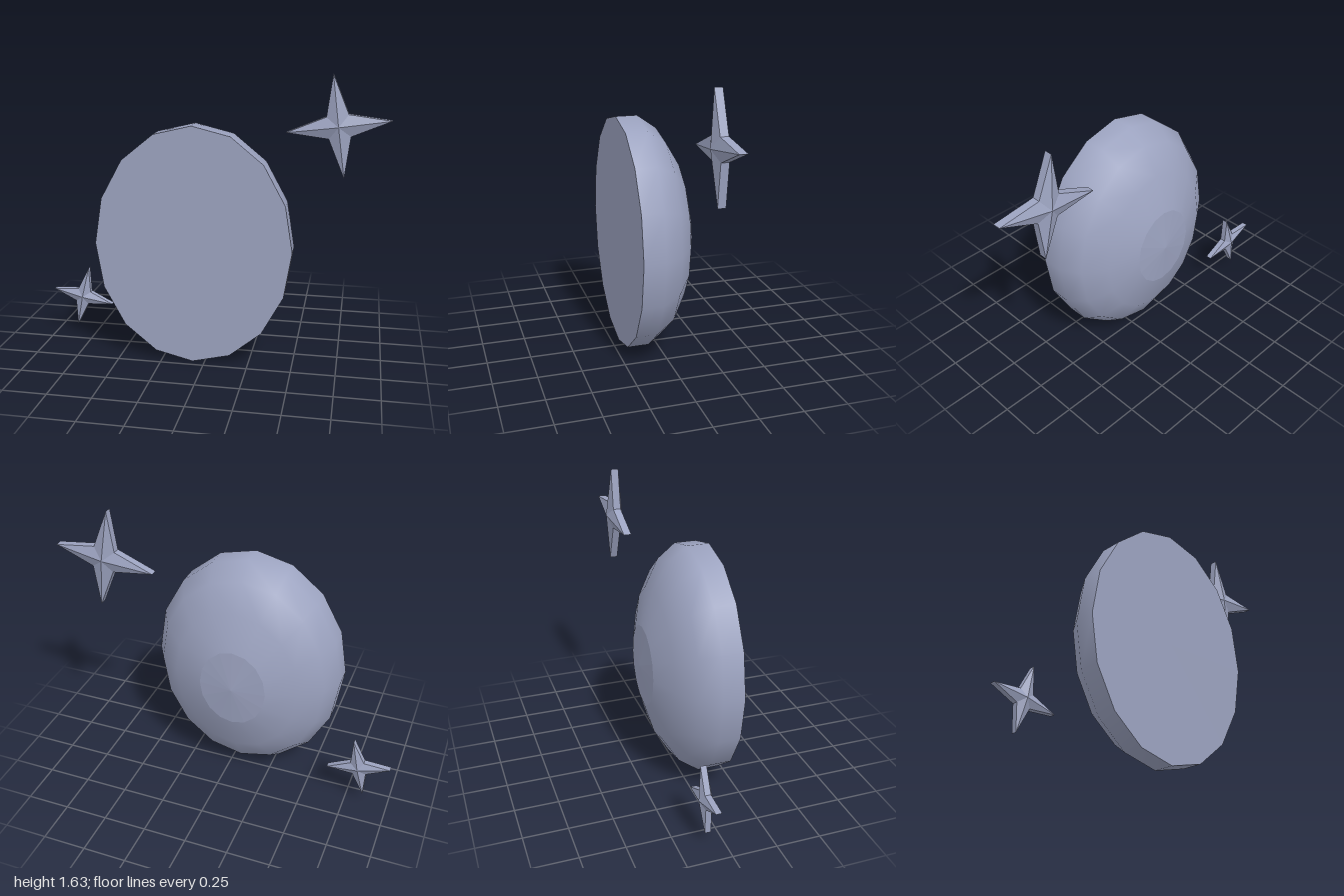
import * as THREE from 'three';

const lilac = new THREE.MeshStandardMaterial({ color: 0x9ca3c0 });
lilac.name = 'lilacGrey';

const SIDES = 16;
const RX = 0.56, RY = 0.685;

function part(name, geometry) {
  const mesh = new THREE.Mesh(geometry, lilac);
  mesh.name = name;
  return mesh;
}

// Turns a shape made around +y towards the back and stretches it to the oval.
const toOval = (geometry) => geometry.rotateX(-Math.PI / 2).scale(RX, RY, 1);

function flat(geometry) {
  const g = geometry.index ? geometry.toNonIndexed() : geometry;
  g.computeVertexNormals();
  return g;
}

// Four-pointed star with a thin rim and a raised centre on both faces.
function starGeometry(outer, inner, rim, peak) {
  const ring = [];
  for (let i = 0; i < 8; i++) {
    const r = i % 2 ? inner : outer;
    const a = (i * Math.PI) / 4;
    ring.push([r * Math.cos(a), r * Math.sin(a)]);
  }
  const pos = [];
  for (let i = 0; i < 8; i++) {
    const p = ring[i], q = ring[(i + 1) % 8];
    const pf = [...p, rim], qf = [...q, rim], pb = [...p, -rim], qb = [...q, -rim];
    pos.push(0, 0, peak, ...pf, ...qf);
    pos.push(0, 0, -peak, ...qb, ...pb);
    pos.push(...pf, ...pb, ...qb, ...pf, ...qb, ...qf);
  }
  const g = new THREE.BufferGeometry();
  g.setAttribute('position', new THREE.Float32BufferAttribute(pos, 3));
  return flat(g);
}

export function createModel() {
  const model = new THREE.Group();
  model.name = 'ovalGemWithStars';

  // Oval cabochon: flat front, short wall and domed back
  const gem = new THREE.Group();
  gem.name = 'ovalGem';
  gem.position.set(-0.07, 0.69, 0);
  const profile = [[1, -0.205], [1, -0.08], [0.885, 0.03], [0.66, 0.122], [0.35, 0.186]]
    .map(([r, y]) => new THREE.Vector2(r, y));
  gem.add(part('domedBack', toOval(new THREE.LatheGeometry(profile, SIDES))));

  // Shallow faceted cap at the middle of the back
  const cap = new THREE.ConeGeometry(0.35, 0.02, SIDES, 1, true).translate(0, 0.196, 0);
  gem.add(part('backCap', flat(toOval(cap))));

  const face = new THREE.CircleGeometry(1, SIDES).scale(RX, RY, 1).translate(0, 0, 0.205);
  gem.add(part('frontFace', face));
  model.add(gem);

  // Large and small star
  const large = part('largeStar', starGeometry(0.295, 0.088, 0.0225, 0.051));
  large.position.set(0.705, 1.345, -0.118);
  large.rotation.z = 0.136;
  const small = part('smallStar', starGeometry(0.188, 0.056, 0.017, 0.039));
  small.position.set(-0.813, 0.253, -0.083);
  small.rotation.z = -0.215;
  model.add(large, small);

  return model;
}
